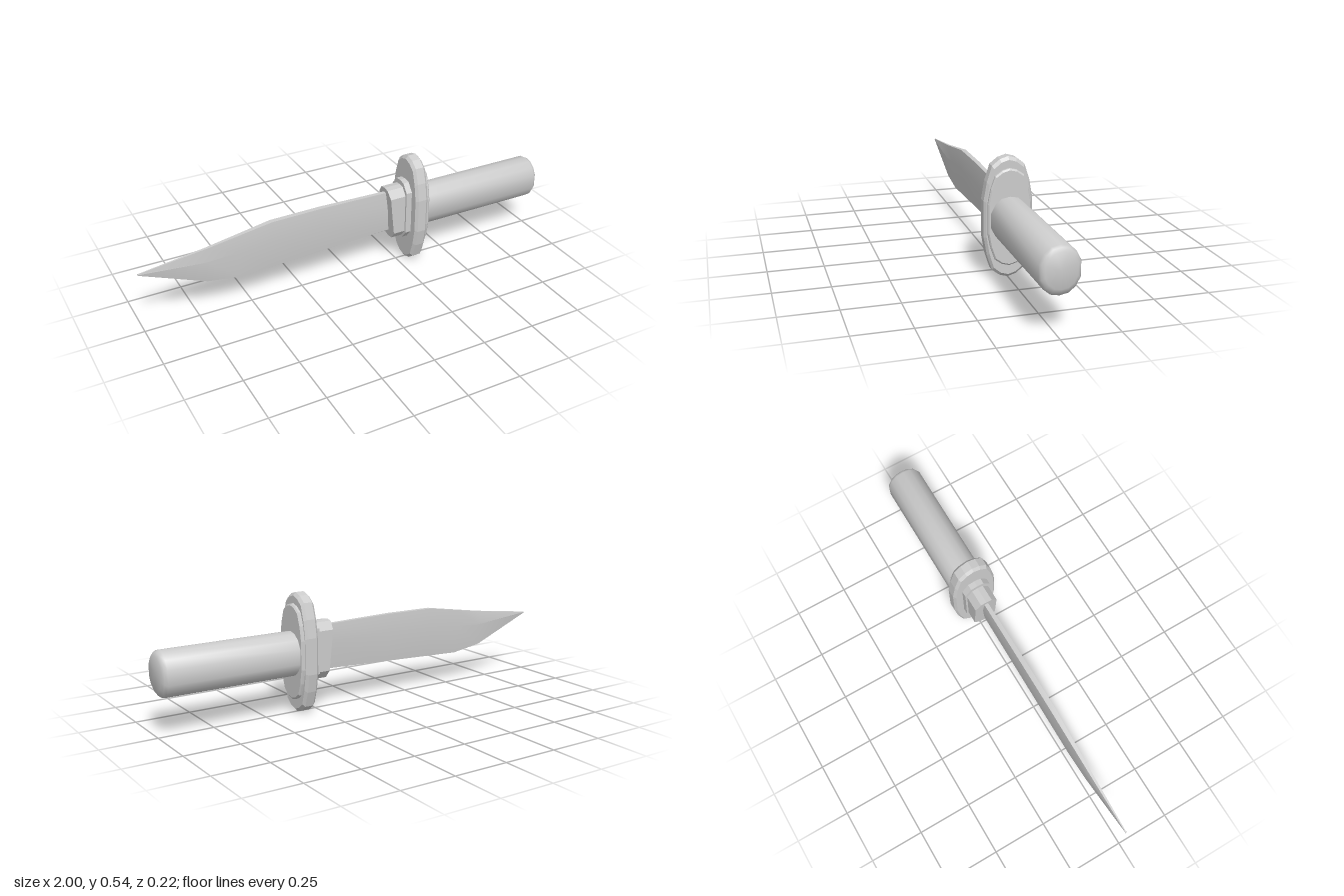
import * as THREE from 'three';
import { toCreasedNormals } from 'three/addons/utils/BufferGeometryUtils.js';

const material = new THREE.MeshStandardMaterial({ color: 0xcccccc });

// Closed loft through rings of [x, y, z], each running from +y towards +z, with x increasing
function loft(name, rings, crease) {
  const n = rings[0].length, pos = [];
  const tri = (...points) => points.forEach(p => pos.push(...p));
  for (let i = 0; i < rings.length - 1; i++) {
    for (let k = 0; k < n; k++) {
      const a = rings[i][k], b = rings[i][(k + 1) % n];
      const c = rings[i + 1][(k + 1) % n], d = rings[i + 1][k];
      tri(a, b, c);
      tri(a, c, d);
    }
  }
  const centre = ring => [0, 1, 2].map(j => ring.reduce((s, p) => s + p[j], 0) / n);
  const first = rings[0], last = rings[rings.length - 1];
  for (let k = 0; k < n; k++) {
    const m = (k + 1) % n;
    tri(centre(first), first[m], first[k]);
    tri(centre(last), last[k], last[m]);
  }
  let geometry = new THREE.BufferGeometry();
  geometry.setAttribute('position', new THREE.Float32BufferAttribute(pos, 3));
  geometry = toCreasedNormals(geometry, crease);
  const mesh = new THREE.Mesh(geometry, material);
  mesh.name = name;
  return mesh;
}

// Complete an outline from its upper quarter of unit [y, z] points
function mirrorOutline(quarter) {
  const lower = quarter.filter(p => p[0] > 0).reverse().map(([y, z]) => [-y, z]);
  const half = [...quarter, ...lower];
  const other = half.filter(p => p[1] > 0).reverse().map(([y, z]) => [y, -z]);
  return [...half, ...other];
}

const guardOutline = mirrorOutline([[1, 0], [0.96, 0.34], [0.86, 0.66], [0.6, 0.87], [0.3, 1]]);
const gripOutline = mirrorOutline([[1, 0], [0.93, 0.43], [0.7, 0.77], [0.33, 1]]);
const collarOutline = mirrorOutline([[1, 0], [0.97, 0.5], [0.7, 1]]);

// Ring of an outline at x; slant shifts x with height
const ring = (outline, x, cy, hy, hz, slant = 0) =>
  outline.map(([y, z]) => [x - slant * y, cy + y * hy, z * hz]);

export function createModel() {
  const group = new THREE.Group();

  // Blade stations: x, spine height, ridge height, edge height, half thickness
  const stations = [
    [-1, 0.297, 0.294, 0.291, 0.003],
    [-0.7, 0.335, 0.27, 0.168, 0.01],
    [-0.55, 0.359, 0.28, 0.145, 0.014],
    [-0.39, 0.385, 0.293, 0.151, 0.018],
    [-0.15, 0.388, 0.3, 0.161, 0.017],
    [0.23, 0.38, 0.3, 0.176, 0.014],
  ];
  group.add(loft('blade', stations.map(([x, top, mid, low, t]) => [
    [x, top, -t * 0.65], [x, top, t * 0.65], [x, mid, t],
    [x, low, 0.002], [x, low, -0.002], [x, mid, -t],
  ]), 0.3));

  // Stepped collar between blade and guard
  group.add(loft('bladeCollar', [
    ring(collarOutline, 0.195, 0.272, 0.132, 0.055, 0.014),
    ring(collarOutline, 0.275, 0.272, 0.132, 0.055),
  ], 0.1));
  group.add(loft('guardCollar', [
    ring(collarOutline, 0.262, 0.278, 0.148, 0.064),
    ring(collarOutline, 0.3, 0.278, 0.148, 0.064),
  ], 0.1));

  // Oval guard with chamfered rims
  group.add(loft('guard', [
    ring(guardOutline, 0.29, 0.271, 0.256, 0.098),
    ring(guardOutline, 0.302, 0.271, 0.27, 0.108),
    ring(guardOutline, 0.342, 0.271, 0.27, 0.108),
    ring(guardOutline, 0.354, 0.271, 0.256, 0.098),
  ], 0.1));

  // Thin plate behind the guard
  group.add(loft('guardPlate', [
    ring(guardOutline, 0.35, 0.277, 0.216, 0.095),
    ring(guardOutline, 0.364, 0.277, 0.216, 0.095),
    ring(guardOutline, 0.37, 0.277, 0.209, 0.09),
  ], 0.1));

  // Faceted grip with a rounded butt
  group.add(loft('grip', [
    ring(gripOutline, 0.36, 0.271, 0.1, 0.083),
    ring(gripOutline, 0.978, 0.271, 0.1, 0.083),
    ring(gripOutline, 0.991, 0.273, 0.091, 0.076),
    ring(gripOutline, 1, 0.276, 0.074, 0.064),
  ], 0.75));

  return group;
}
